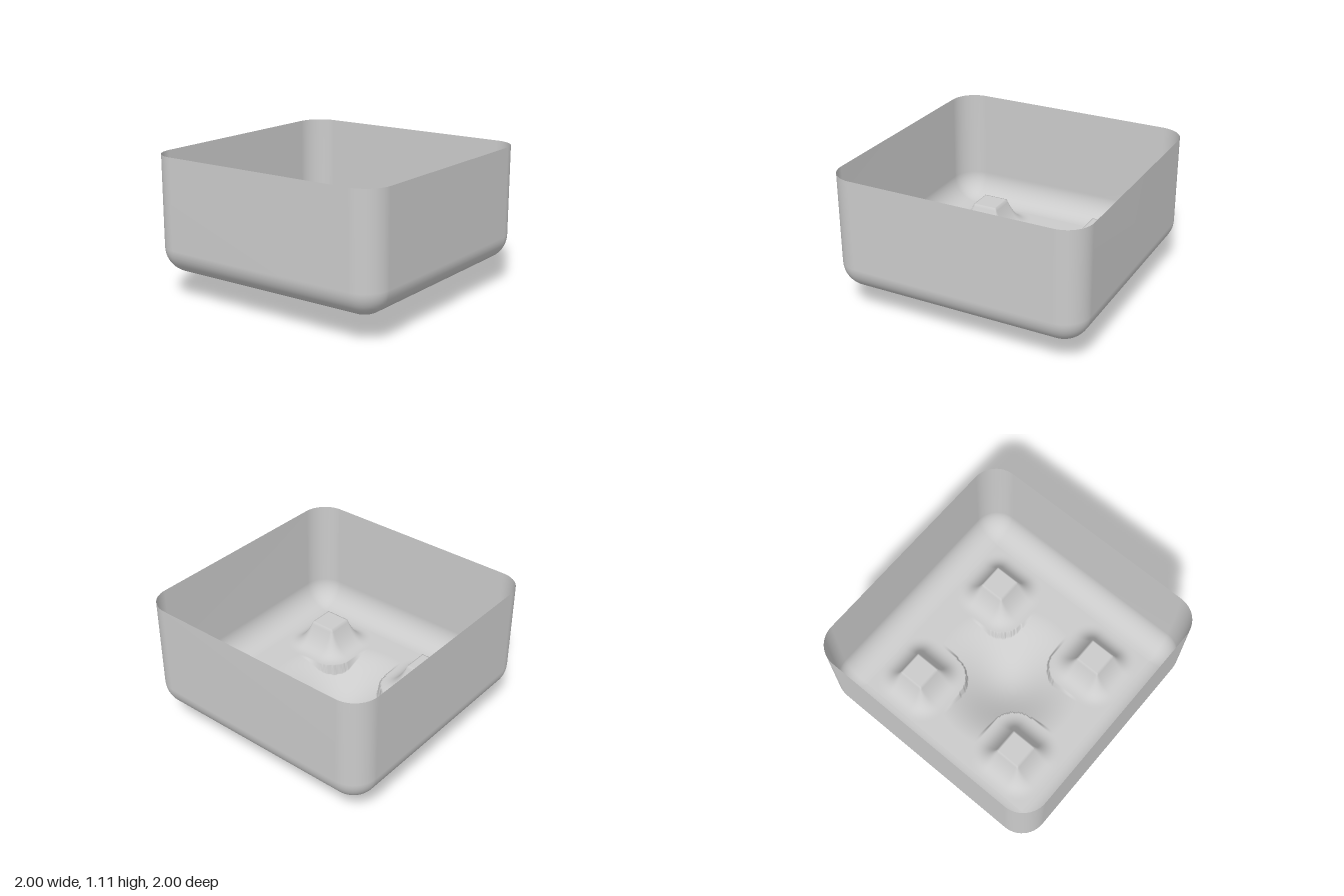
import * as THREE from 'three';

const FLOOR = 0.2, RIM = 1.11, CORE = 0.8, RADIUS = 0.2;
const material = new THREE.MeshStandardMaterial({ color: 0xcccccc, side: THREE.DoubleSide });

// Height of the floor: a round hollow in the middle and four square pegs with flared feet
function floorHeight(x, z) {
  let y = FLOOR;
  const r = Math.hypot(x + 0.035, z - 0.015);
  if (r < 0.6) y -= 0.1 * (1 + Math.cos((Math.PI * r) / 0.6));
  for (const px of [-0.49, 0.48]) {
    for (const pz of [-0.5, 0.48]) {
      const dx = Math.max(Math.abs(x - px) - 0.1, 0);
      const dz = Math.max(Math.abs(z - pz) - 0.1, 0);
      const t = Math.hypot(dx, dz) / 0.22;
      if (t < 1) y = Math.max(y, FLOOR + 0.2 * Math.pow(1 - t, 2.7));
    }
  }
  return y;
}

// Walls: rounded-square rings stacked from the rim down around the bottom fillet
function wallGeometry() {
  const corner = 12, fillet = 12;
  const profile = [[RADIUS, RIM]];
  for (let i = 0; i <= fillet; i++) {
    const a = (i / fillet) * Math.PI / 2;
    profile.push([RADIUS * Math.cos(a), FLOOR + RADIUS * (1 - Math.sin(a))]);
  }
  const count = 4 * (corner + 1), positions = [], index = [];
  for (const [r, y] of profile) {
    for (let q = 0; q < 4; q++) {
      const mid = (q + 0.5) * Math.PI / 2;
      for (let i = 0; i <= corner; i++) {
        const a = (q + i / corner) * Math.PI / 2;
        positions.push(
          CORE * Math.sign(Math.cos(mid)) + r * Math.cos(a), y,
          CORE * Math.sign(Math.sin(mid)) + r * Math.sin(a));
      }
    }
  }
  for (let j = 0; j < profile.length - 1; j++) {
    for (let i = 0; i < count; i++) {
      const a = j * count + i, b = j * count + (i + 1) % count;
      index.push(a, b, a + count, b, b + count, a + count);
    }
  }
  const geometry = new THREE.BufferGeometry();
  geometry.setAttribute('position', new THREE.Float32BufferAttribute(positions, 3));
  geometry.setIndex(index);
  geometry.computeVertexNormals();
  return geometry;
}

// Floor: fine grid shaped by the height rule
function floorGeometry() {
  const geometry = new THREE.PlaneGeometry(2 * CORE, 2 * CORE, 160, 160).rotateX(-Math.PI / 2);
  const p = geometry.attributes.position;
  for (let i = 0; i < p.count; i++) p.setY(i, floorHeight(p.getX(i), p.getZ(i)));
  geometry.computeVertexNormals();
  return geometry;
}

export function createModel() {
  const group = new THREE.Group();
  group.name = 'openTray';
  const walls = new THREE.Mesh(wallGeometry(), material);
  walls.name = 'walls';
  const floor = new THREE.Mesh(floorGeometry(), material);
  floor.name = 'floor';
  group.add(walls, floor);
  return group;
}
